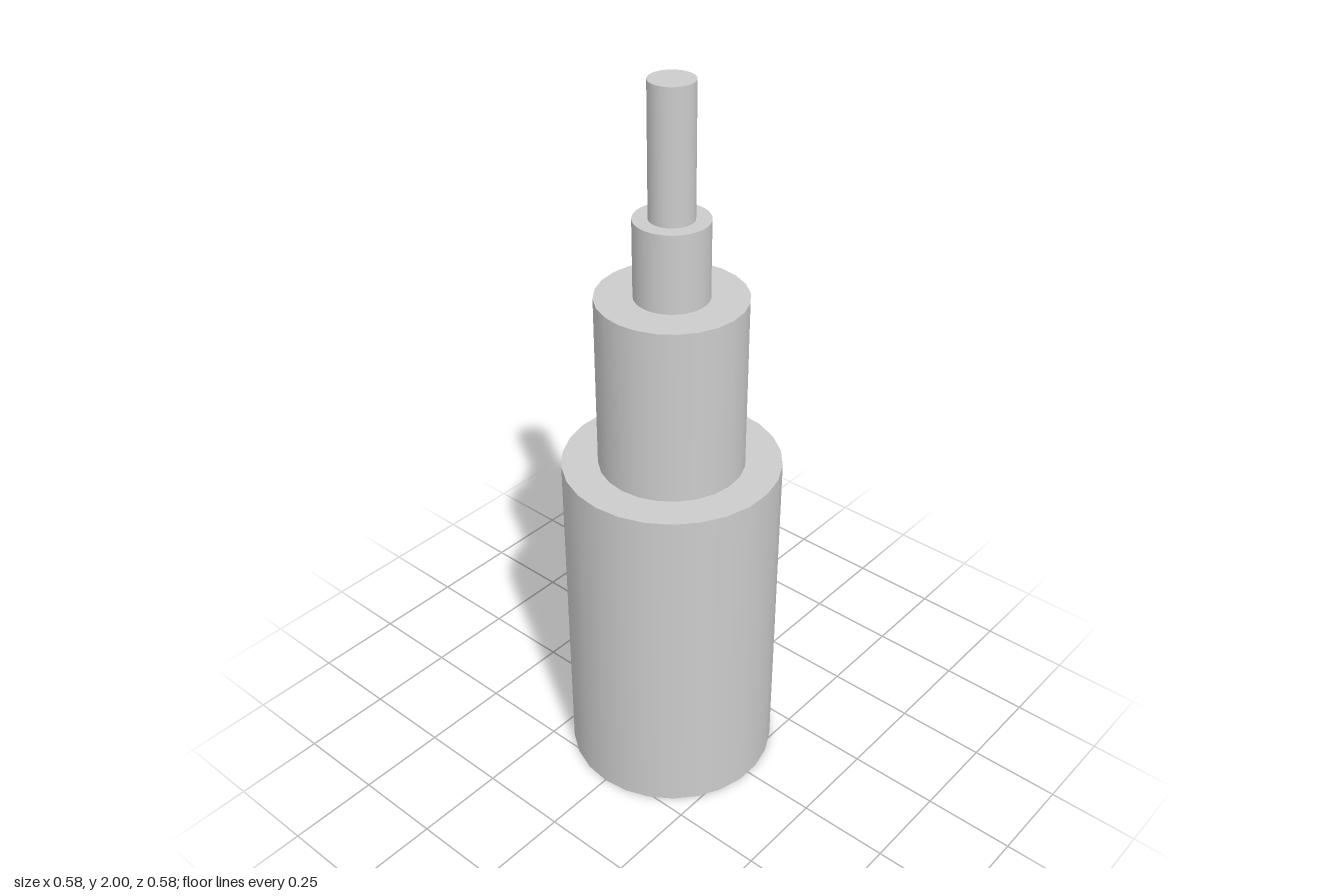
import * as THREE from 'three';

export function createModel() {
  const group = new THREE.Group();
  group.name = 'steppedShaft';
  const material = new THREE.MeshStandardMaterial({ color: 0xcccccc });

  // Stacked coaxial cylinders: name, radius, bottom, top, sides
  const tiers = [
    ['baseCylinder', 0.292, 0, 0.968, 26],
    ['middleCylinder', 0.195, 0.968, 1.45, 24],
    ['collar', 0.097, 1.45, 1.658, 32],
    ['tipRod', 0.058, 1.658, 2, 32],
  ];
  for (const [name, radius, bottom, top, sides] of tiers) {
    // Start the ring at +x so a corner lies on the x axis
    const geometry = new THREE.CylinderGeometry(
      radius, radius, top - bottom, sides, 1, false, Math.PI / 2);
    const mesh = new THREE.Mesh(geometry, material);
    mesh.name = name;
    mesh.position.y = (bottom + top) / 2;
    group.add(mesh);
  }
  return group;
}
